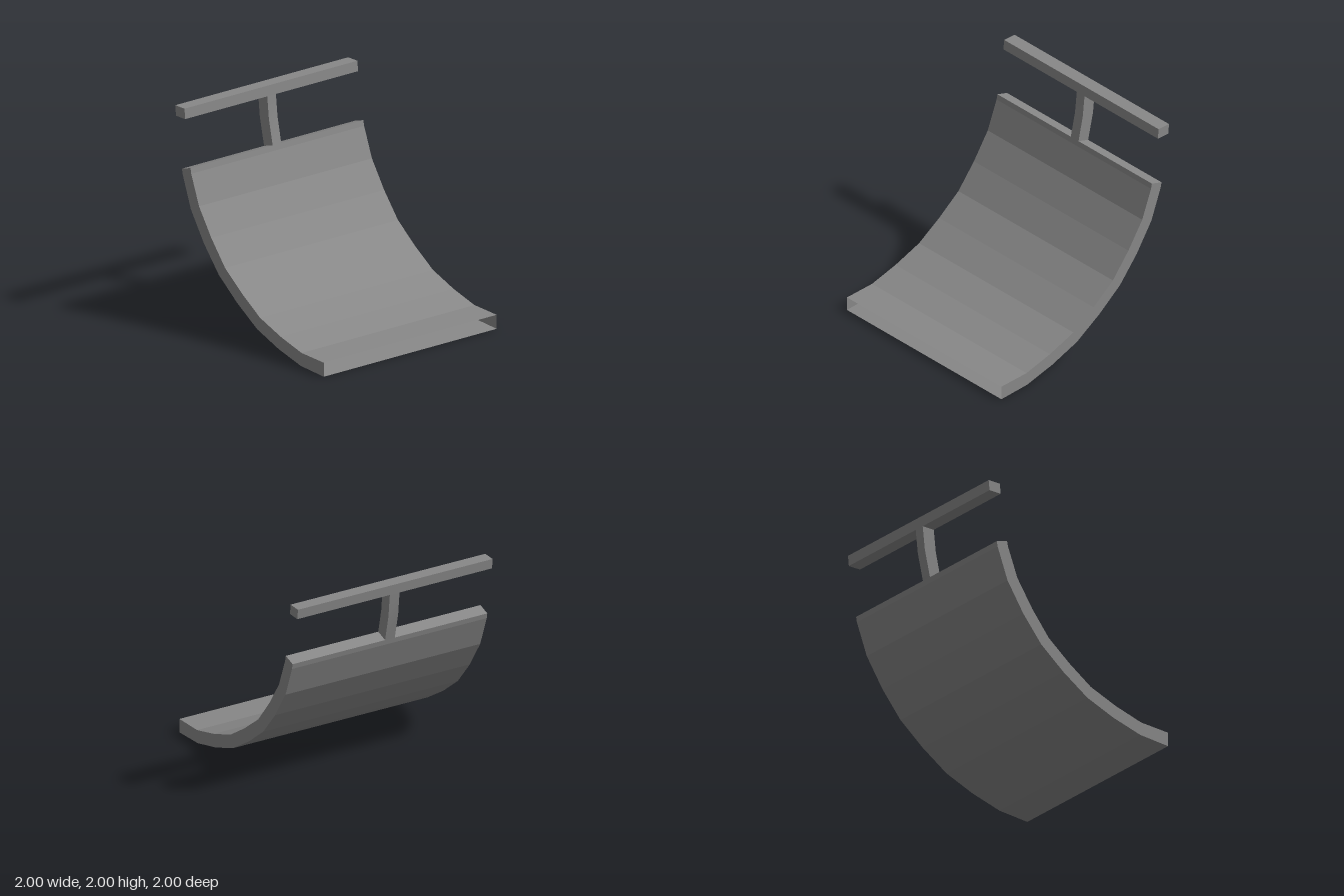
import * as THREE from 'three';
import { toCreasedNormals } from 'three/addons/utils/BufferGeometryUtils.js';

// Side profile of the curved seat: outer and inner edges, top to bottom
const shellOuter = [[-0.91, 1.435], [-0.9, 1.385], [-0.79, 1.09], [-0.615, 0.82], [-0.415, 0.58],
  [-0.17, 0.385], [0.1, 0.21], [0.39, 0.1], [0.69, 0.02], [1, 0]];
const shellInner = [[-0.795, 1.47], [-0.785, 1.42], [-0.68, 1.145], [-0.515, 0.895], [-0.33, 0.665],
  [-0.1, 0.485], [0.14, 0.325], [0.42, 0.22], [0.7, 0.143], [1, 0.13]];
const stemOuter = [[-0.99, 1.905], [-0.967, 1.69], [-0.91, 1.435]];
const stemInner = [[-0.867, 1.905], [-0.845, 1.7], [-0.795, 1.47]];
const barOuter = [[-1, 2], [-0.99, 1.905]];
const barInner = [[-0.875, 2], [-0.867, 1.905]];

const flatGrey = new THREE.MeshStandardMaterial({
  color: 0x888888, flatShading: true, side: THREE.DoubleSide,
});
const smoothGrey = new THREE.MeshStandardMaterial({ color: 0x888888, side: THREE.DoubleSide });

// Extrude the band between two edges along z, centred on z = 0
function band(name, outer, inner, width) {
  const outline = [...outer, ...[...inner].reverse()].map(([x, y]) => new THREE.Vector2(x, y));
  const geometry = new THREE.ExtrudeGeometry(new THREE.Shape(outline), {
    depth: width, bevelEnabled: false,
  });
  geometry.translate(0, 0, -width / 2);
  const mesh = new THREE.Mesh(geometry, flatGrey);
  mesh.name = name;
  return mesh;
}

// Drop the triangles lying in the plane x = limit, leaving that end open
function openEnd(mesh, limit) {
  const p = mesh.geometry.getAttribute('position');
  const kept = [];
  for (let i = 0; i < p.count; i += 3) {
    const corners = [i, i + 1, i + 2];
    if (corners.every((c) => p.getX(c) > limit - 0.001)) continue;
    for (const c of corners) kept.push(p.getX(c), p.getY(c), p.getZ(c));
  }
  const geometry = new THREE.BufferGeometry();
  geometry.setAttribute('position', new THREE.Float32BufferAttribute(kept, 3));
  geometry.computeVertexNormals();
  mesh.geometry = geometry;
  return mesh;
}

// Round the shading along gentle bends, keeping the edges sharp
function smoothBends(mesh) {
  mesh.geometry = toCreasedNormals(mesh.geometry, Math.PI / 6);
  mesh.material = smoothGrey;
  return mesh;
}

export function createModel() {
  const model = new THREE.Group();
  model.name = 'curvedSeat';
  model.add(
    openEnd(band('seatShell', shellOuter, shellInner, 2), 1), // hollow front edge
    smoothBends(band('stem', stemOuter, stemInner, 0.1)),
    band('topBar', barOuter, barInner, 2),
  );
  return model;
}
